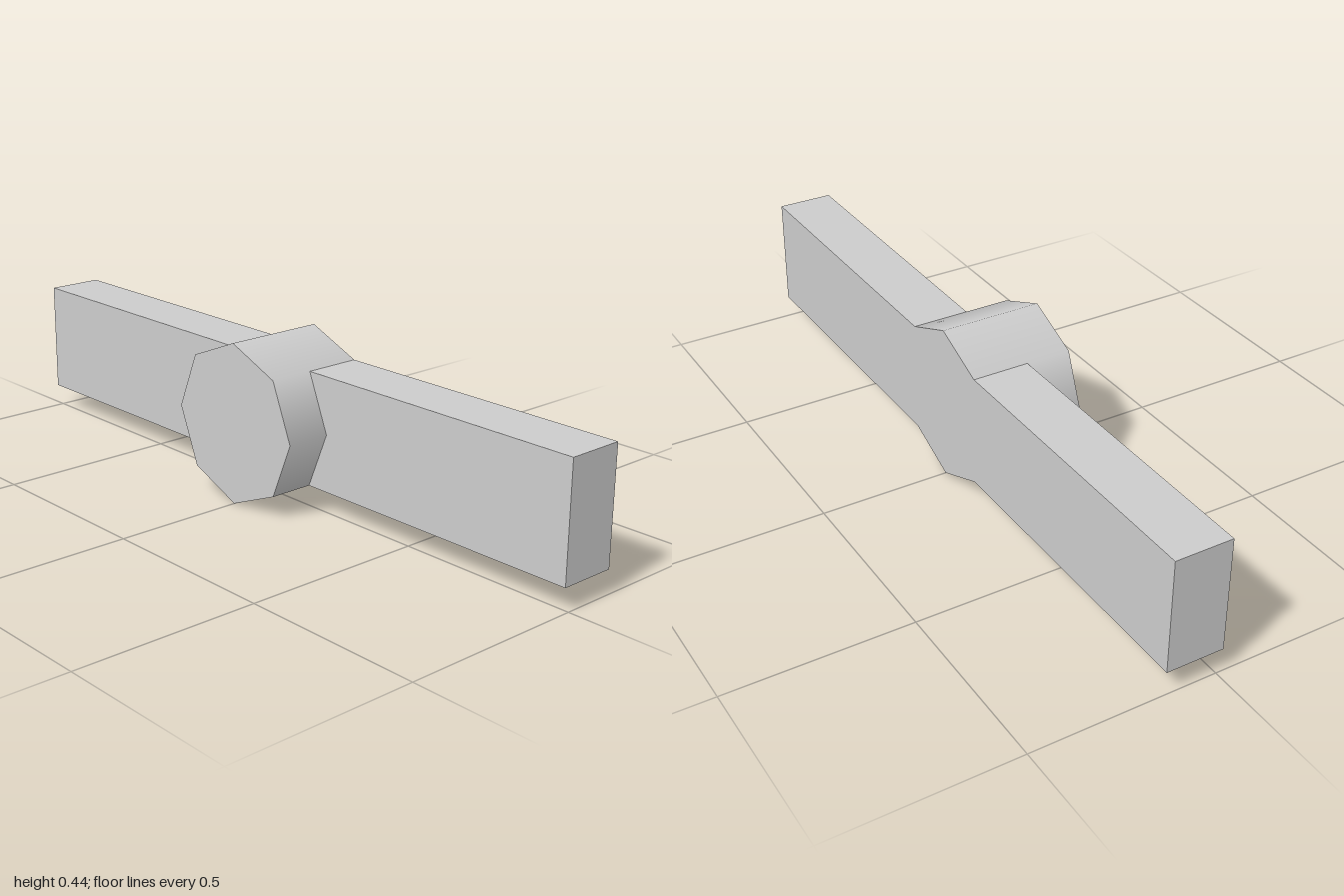
import * as THREE from 'three';

export function createModel() {
  const group = new THREE.Group();
  const grey = new THREE.MeshStandardMaterial({ color: 0xcccccc });
  grey.name = 'light grey';

  const radius = 0.219;               // hub corner radius, also its centre height
  const half = radius * Math.SQRT1_2; // arms meet the hub at its diagonal corners
  const back = -0.14, depth = 0.28, armDepth = 0.156;

  // Eight-sided hub with smooth sides, one corner pointing straight up
  const hub = new THREE.Mesh(
    new THREE.CylinderGeometry(radius, radius, depth, 8).rotateX(Math.PI / 2), grey);
  hub.name = 'hub';
  hub.position.y = radius;
  group.add(hub);

  // Arm outline, notched at the inner end to fit around the hub
  const outline = new THREE.Shape([
    [half, -half], [1, -half], [1, half], [half, half], [radius, 0],
  ].map(([x, y]) => new THREE.Vector2(x, y)));
  const armGeometry = new THREE.ExtrudeGeometry(outline, { depth: armDepth, bevelEnabled: false });

  for (const [name, turn] of [['leftArm', 0], ['rightArm', Math.PI]]) {
    const arm = new THREE.Mesh(armGeometry, grey);
    arm.name = name;
    arm.position.set(0, radius, back);
    arm.rotation.z = turn;
    group.add(arm);
  }
  return group;
}
